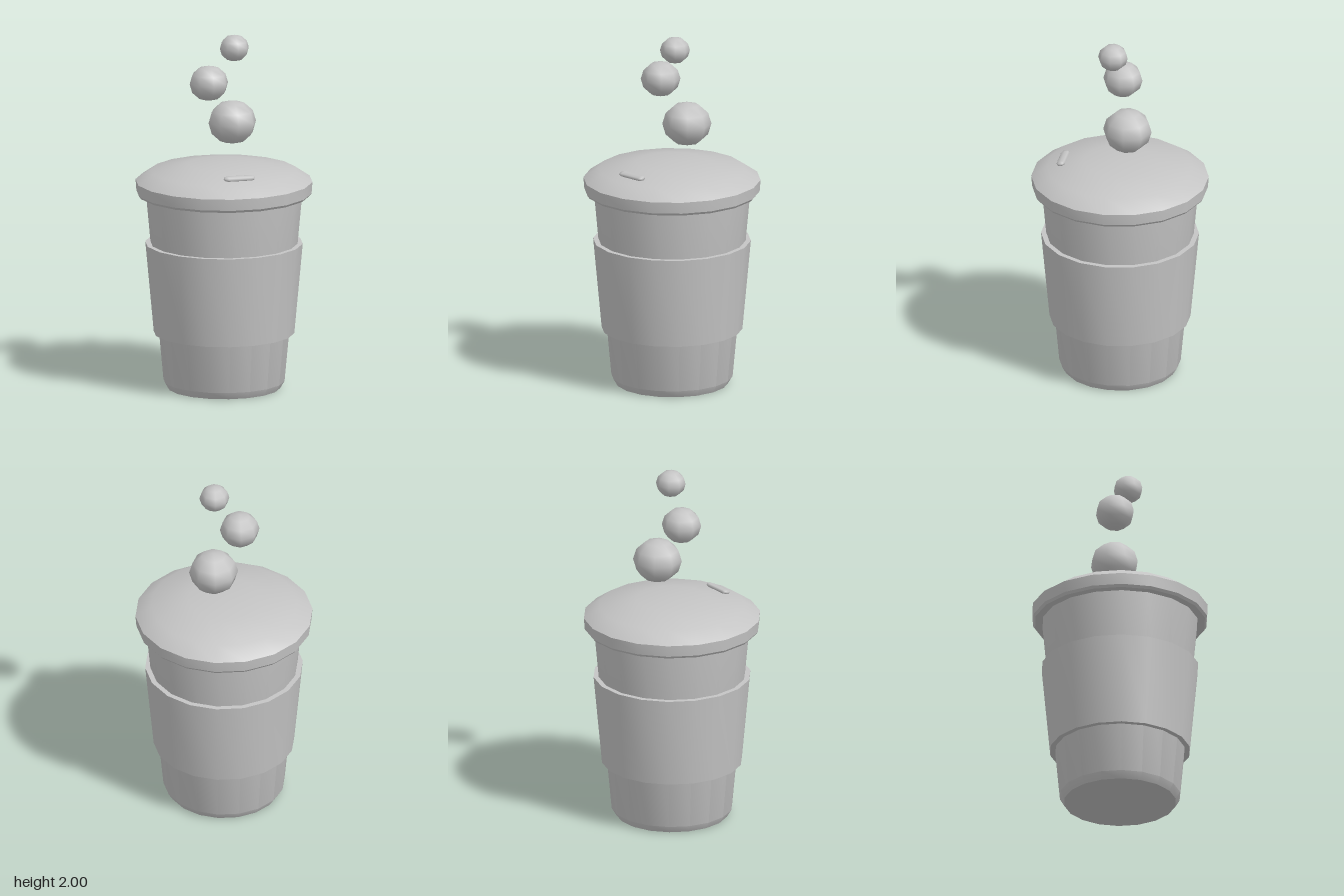
import * as THREE from 'three';
import { toCreasedNormals } from 'three/addons/utils/BufferGeometryUtils.js';

const SIDES = 18;

export function createModel() {
  const model = new THREE.Group();
  model.name = 'takeawayCup';
  const grey = new THREE.MeshStandardMaterial({ color: 0xc4c4c4 });
  grey.name = 'plain grey';

  function add(name, geometry, x = 0, y = 0, z = 0) {
    const mesh = new THREE.Mesh(geometry, grey);
    mesh.name = name;
    mesh.position.set(x, y, z);
    model.add(mesh);
    return mesh;
  }

  // Turned part: profile of [radius, height], outer side running upwards
  function turned(name, profile) {
    const points = profile.map(([r, y]) => new THREE.Vector2(r, y));
    const lathe = new THREE.LatheGeometry(points, SIDES, Math.PI / 2);
    return add(name, toCreasedNormals(lathe, Math.PI / 6));
  }

  // Tapered cup with a bevelled foot
  turned('cup', [[0, 0], [0.312, 0], [0.336, 0.04], [0.436, 1.12], [0, 1.12]]);

  // Cardboard sleeve, a closed ring around the cup
  turned('sleeve', [[0.355, 0.312], [0.39, 0.312], [0.437, 0.82], [0.405, 0.82]]);

  // Lid with a chamfered rim and a low dome
  turned('lid', [
    [0.42, 1.092], [0.475, 1.092], [0.486, 1.106], [0.491, 1.17],
    [0.405, 1.228], [0.2, 1.265], [0, 1.274],
  ]);

  // Flattened drinking spout lying on the dome
  const spoutShape = new THREE.CapsuleGeometry(0.026, 0.128, 2, 8);
  spoutShape.rotateZ(Math.PI / 2);
  spoutShape.scale(1, 0.5, 1);
  add('spout', spoutShape, 0, 1.251, 0.32).rotation.x = 0.2;

  // Steam puffs rising above the lid: x, y, z, radius
  const puffs = [
    [0.062, 1.487, -0.054, 0.136],
    [-0.087, 1.727, 0, 0.11],
    [0.051, 1.925, 0.03, 0.083],
  ];
  puffs.forEach(([x, y, z, r], i) => {
    const puff = new THREE.SphereGeometry(r, 8, 6);
    puff.scale(1, 0.9, 1);
    add(`steamPuff${i + 1}`, puff, x, y, z);
  });

  return model;
}
